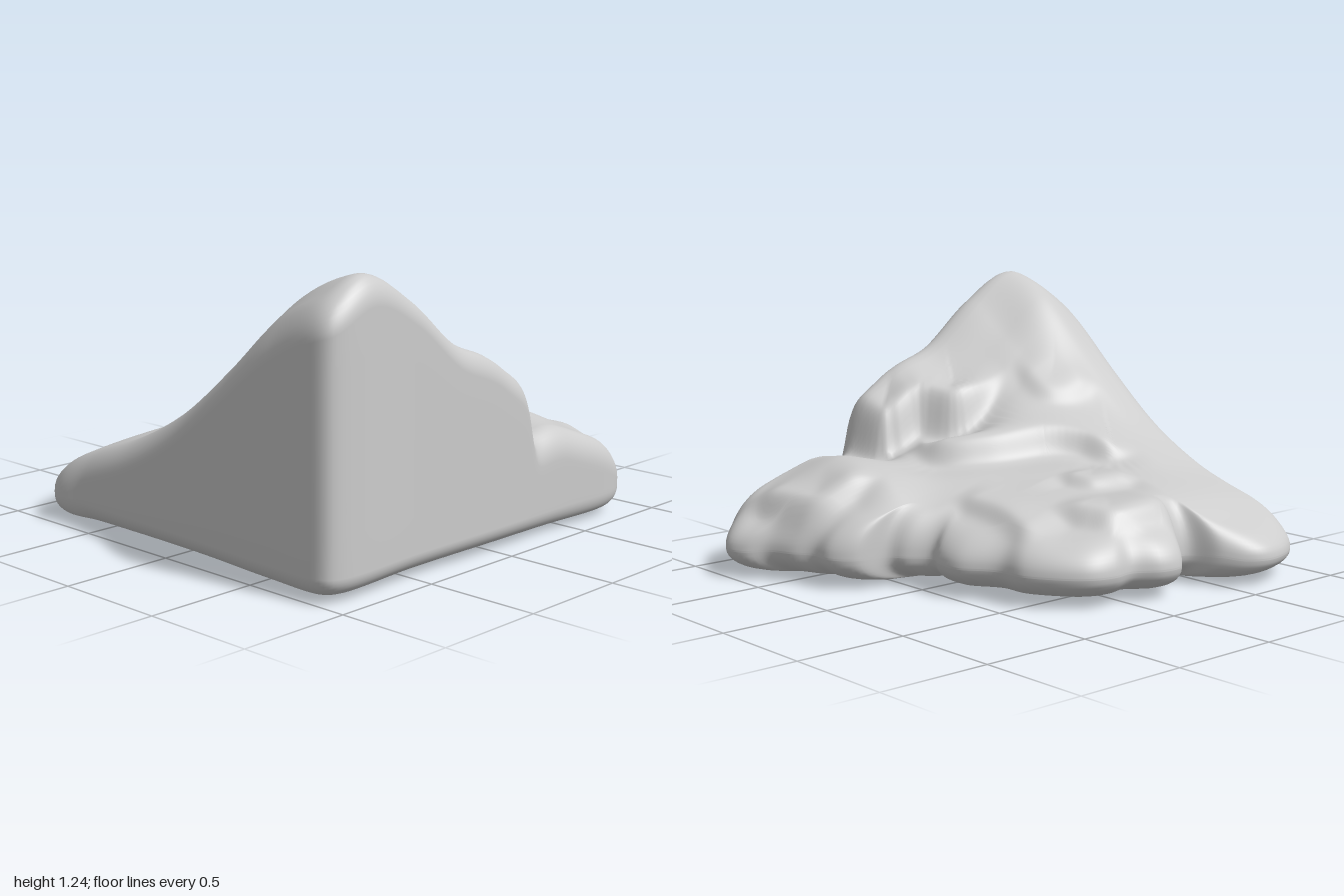
import * as THREE from 'three';
import { mergeVertices } from 'three/addons/utils/BufferGeometryUtils.js';

// Footprint seen from above, as [x, z]: two straight walls, lobed elsewhere
const OUTLINE = [
  [-0.99, 0.89], [-0.93, 0.93], [-0.5, 0.925], [0, 0.93], [0.4, 0.925], [0.83, 0.92],
  [0.92, 0.85], [0.995, 0.74], [0.97, 0.65], [0.9, 0.58], [0.85, 0.45], [0.8, 0.37],
  [0.8, 0.26], [0.73, 0.17], [0.58, 0.13], [0.54, 0.07], [0.46, -0.02], [0.49, -0.1],
  [0.49, -0.22], [0.4, -0.38], [0.38, -0.52], [0.22, -0.73], [0.1, -0.77], [0, -0.76],
  [-0.12, -0.83], [-0.22, -0.83], [-0.3, -0.75], [-0.34, -0.69], [-0.41, -0.7],
  [-0.48, -0.83], [-0.6, -0.93], [-0.7, -0.94], [-0.89, -0.86], [-0.96, -0.76],
  [-0.95, -0.6], [-0.96, -0.3], [-0.98, 0.2], [-1, 0.6],
];

// Broad slope heights: columns x = -1..1 step 0.25, rows z = -0.9..0.9 step 0.3
const SLOPE = [
  [0.20, 0.21, 0.22, 0.23, 0.24, 0.22, 0.20, 0.20, 0.20],
  [0.31, 0.34, 0.36, 0.37, 0.34, 0.26, 0.22, 0.20, 0.20],
  [0.42, 0.44, 0.44, 0.42, 0.39, 0.33, 0.23, 0.20, 0.20],
  [0.58, 0.60, 0.55, 0.48, 0.43, 0.37, 0.27, 0.22, 0.20],
  [0.80, 0.84, 0.75, 0.63, 0.54, 0.45, 0.43, 0.30, 0.20],
  [1.02, 1.13, 0.95, 0.77, 0.63, 0.50, 0.48, 0.35, 0.23],
  [1.15, 1.25, 1.14, 0.94, 0.82, 0.54, 0.43, 0.34, 0.22],
];

// Ledges: the ground is higher on the left-hand side of each path
const LEDGES = [
  { amp: 0.05, path: [[0.11, 0.56], [0.13, 0.35], [-0.05, 0.2], [-0.3, 0.1], [-0.42, 0], [-0.5, -0.14], [-0.66, -0.17]] },
  { amp: 0.1, path: [[0.21, 1.4], [0.21, 0.75], [0.13, 0.65], [0, 0.62], [-0.08, 0.5], [-0.2, 0.46], [-0.42, 0.48]] },
  { amp: 0.045, path: [[0.85, 0.82], [0.81, 0.5], [0.74, 0.38], [0.45, 0.32]] },
  { amp: 0.035, path: [[0.11, -0.36], [0.05, -0.55], [-0.05, -0.66], [-0.38, -0.69]] },
  { amp: 0.025, path: [[0.3, 0.05], [0.28, -0.2], [0.32, -0.5]] },
  { amp: 0.025, path: [[-0.15, -0.12], [-0.2, -0.32], [-0.45, -0.37]] },
  { amp: 0.02, path: [[-0.45, 0.5], [-0.45, 0.3], [-0.55, 0.21], [-0.75, 0.2]] },
].map(({ amp, path }) => ({
  amp,
  points: new THREE.SplineCurve(path.map(([x, z]) => new THREE.Vector2(x, z))).getSpacedPoints(40),
}));

const { clamp, lerp, smoothstep } = THREE.MathUtils;

// Catmull-Rom sample of a row of values
function sampleRow(at, count, t) {
  t = clamp(t, 0, count - 1);
  const i = Math.min(Math.floor(t), count - 2);
  const f = t - i;
  const [a, b, c, d] = [-1, 0, 1, 2].map((k) => at(clamp(i + k, 0, count - 1)));
  return b + 0.5 * f * (c - a + f * (2 * a - 5 * b + 4 * c - d + f * (3 * (b - c) + d - a)));
}

// Step added by one ledge, fading away from its path and toward its ends
function ledgeStep({ amp, points }, x, z) {
  const last = points.length - 1;
  let best = Infinity;
  let side = 0;
  let along = 0;
  for (let i = 0; i < last; i++) {
    const a = points[i];
    const dx = points[i + 1].x - a.x;
    const dz = points[i + 1].y - a.y;
    const len = Math.hypot(dx, dz);
    const t = clamp(((x - a.x) * dx + (z - a.y) * dz) / (len * len), 0, 1);
    const dist = Math.hypot(x - a.x - t * dx, z - a.y - t * dz);
    if (dist < best) {
      best = dist;
      side = ((x - a.x) * dz - (z - a.y) * dx) / len;
      along = (i + t) / last;
    }
  }
  const ends = smoothstep(along, 0, 0.22) * smoothstep(1 - along, 0, 0.22);
  return amp * ends * Math.tanh(side / 0.03) * Math.exp(-((best / 0.14) ** 2));
}

function groundHeight(x, z) {
  const row = (r) => sampleRow((c) => SLOPE[r][c], 9, (x + 1) / 0.25);
  const slope = sampleRow(row, 7, (z + 0.9) / 0.3);
  return LEDGES.reduce((h, ledge) => h + ledgeStep(ledge, x, z), slope);
}

// Closed solid: rings run from the top centre over the rim and under the base
function hillsideGeometry() {
  const centre = new THREE.Vector2(-0.3, 0.1);
  const curve = new THREE.CatmullRomCurve3(OUTLINE.map(([x, z]) => new THREE.Vector3(x, 0, z)), true);
  curve.arcLengthDivisions = 1000;
  const sides = 360;
  const rim = curve.getSpacedPoints(sides);
  const topRings = 72, roundRings = 9, wallRings = 6, baseRings = 6;
  const positions = [];
  const indices = [];
  let rings = 0;

  for (let i = 0; i < sides; i++) {
    const p = rim[i];
    const inward = new THREE.Vector2(centre.x - p.x, centre.y - p.z);
    const reach = inward.length();
    inward.normalize();
    const column = [];
    const add = (inset, y) => column.push([p.x + inward.x * inset, y, p.z + inward.y * inset]);
    const ground = (inset) => groundHeight(p.x + inward.x * inset, p.z + inward.y * inset);
    const edge = ground(0);
    // upright on the two straight walls, bulging like a pillow on the lobes
    const wall = Math.max(smoothstep(p.z, 0.8, 0.92), smoothstep(-p.x, 0.88, 0.95));
    const r = 0.13;
    const lobeMiddle = Math.min(0.14, edge * 0.58);
    const drop = lerp(edge - lobeMiddle, Math.min(r, edge * 0.5), wall);
    const under = lerp(lobeMiddle - 0.035, Math.min(0.08, edge * 0.3), wall);
    const low = 0.025 + under;

    // sloping top
    for (let k = 0; k < topRings; k++) {
      const inset = lerp(reach, r, k / topRings);
      add(inset, ground(inset));
    }
    // rounded upper rim
    for (let k = 0; k <= roundRings; k++) {
      const a = (k / roundRings) * Math.PI / 2;
      const inset = r * (1 - Math.sin(a));
      add(inset, ground(inset) - drop * (1 - Math.cos(a)));
    }
    // upright side
    for (let k = 1; k < wallRings; k++) add(0, lerp(edge - drop, low, k / wallRings));
    // lower rim, sweeping well under the lobes
    const tuck = lerp(0.2, 0.09, wall);
    for (let k = 0; k <= roundRings; k++) {
      const a = (k / roundRings) * Math.PI / 2;
      add(tuck * (1 - Math.cos(a)), low - under * Math.sin(a));
    }
    // slightly bulging base
    for (let k = 1; k <= baseRings; k++) {
      const t = k / baseRings;
      add(lerp(tuck, reach, t), 0.025 * (1 - t) ** 2);
    }
    rings = column.length;
    positions.push(...column.flat());
  }

  for (let i = 0; i < sides; i++) {
    const a = i * rings;
    const b = ((i + 1) % sides) * rings;
    for (let j = 0; j < rings - 1; j++) {
      if (j > 0) indices.push(a + j, a + j + 1, b + j);
      if (j < rings - 2) indices.push(b + j, a + j + 1, b + j + 1);
    }
  }
  const geometry = new THREE.BufferGeometry();
  geometry.setAttribute('position', new THREE.Float32BufferAttribute(positions, 3));
  geometry.setIndex(indices);
  const merged = mergeVertices(geometry, 1e-5);
  merged.computeVertexNormals();
  return merged;
}

export function createModel() {
  const stone = new THREE.MeshStandardMaterial({ color: 0xcccccc });
  stone.name = 'light grey stone';
  const hillside = new THREE.Mesh(hillsideGeometry(), stone);
  hillside.name = 'hillside';
  const model = new THREE.Group();
  model.name = 'rockyCorner';
  model.add(hillside);
  return model;
}
